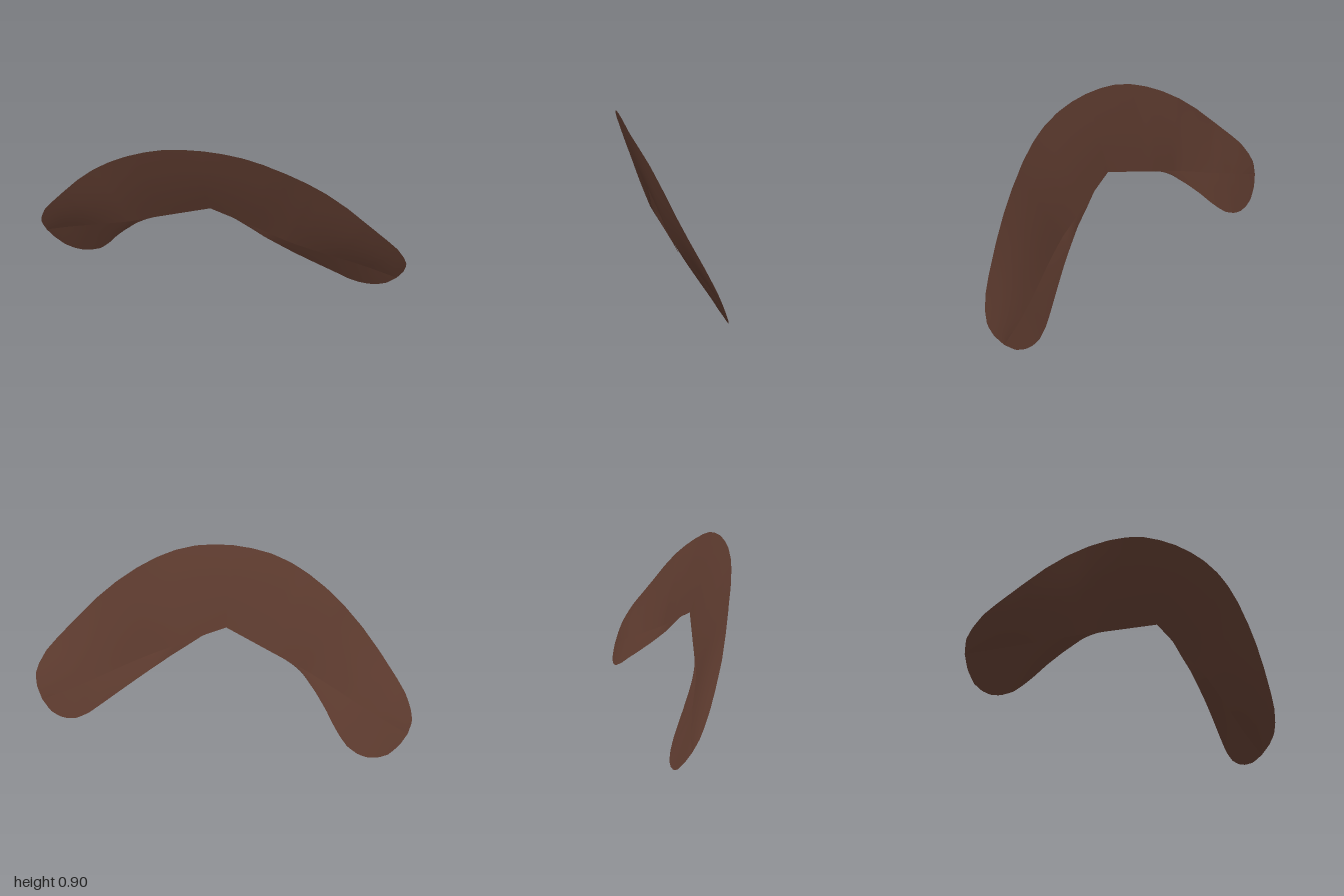
import * as THREE from 'three';

const N = 60; // stations along an arm
const M = 8;  // steps across a panel
const { clamp, lerp, smoothstep } = THREE.MathUtils;

// Outer edge shared by both arms, as seen from the front (mirrored by side)
const outer = [[0, .907], [.1, .902], [.2, .887], [.3, .857], [.4, .813], [.5, .756], [.6, .685], [.7, .597],
  [.8, .492], [.9, .382], [.95, .322], [.985, .255], [1, .2], [.985, .14]];
const tip = [[.69, .038], [.75, .01], [.8, .002], [.85, .008], [.9, .03], [.95, .08]];
const arms = [
  { name: 'leftArm', side: 1, outer: [...outer, [.95, .08]],
    crease: [[0, .51], [.12, .458], [.95, .08]],
    inner: [[0, .51], [.12, .458], ...tip] },
  { name: 'rightArm', side: -1, outer,
    crease: [[0, .51], [.35, .38], [.985, .14]],
    inner: [[0, .51], [.35, .38], [.42, .33], [.5, .252], [.56, .185], [.61, .12], [.65, .075], ...tip, [.985, .14]] },
];

// Depth by height along the outer edge and along the inner edge
const outerDepth = [[0, -.21], [.08, -.177], [.14, -.15], [.2, -.122], [.33, -.057], [.4, -.02], [.5, .03],
  [.6, .073], [.7, .118], [.84, .193], [.91, .222]];
const innerDepth = [[0, -.208], [.035, -.176], [.13, -.118], [.25, -.05], [.34, 0], [.4, .02], [.51, .063]];
function depthAt(table, y) {
  let k = 1;
  while (k < table.length - 1 && y > table[k][0]) k++;
  const [y0, z0] = table[k - 1], [y1, z1] = table[k];
  return lerp(z0, z1, (y - y0) / (y1 - y0));
}

// Evenly spaced points along an outline, set at their depth;
// the inner lines swing to the outer depth at the tip, and the arms twist slightly
function edge(points, side, isOuter) {
  const path = new THREE.CurvePath();
  for (let i = 1; i < points.length; i++) {
    path.add(new THREE.LineCurve(new THREE.Vector2(...points[i - 1]), new THREE.Vector2(...points[i])));
  }
  return Array.from({ length: N + 1 }, (_, i) => {
    const { x, y } = path.getPoint(i / N);
    const weight = isOuter ? 1 : smoothstep(x, .4, .93);
    const z = lerp(depthAt(innerDepth, y), depthAt(outerDepth, y), weight);
    return new THREE.Vector3(side * x, y, z - side * .01 * clamp((x - .4) / .4, 0, 1));
  });
}

// Lofted skin between two edges; thickness(i, v) gives its half depth
function panel(a, b, thickness, side, face) {
  const positions = [], index = [];
  for (let i = 0; i <= N; i++) {
    for (let j = 0; j <= M; j++) {
      const v = j / M, p = a[i].clone().lerp(b[i], v);
      positions.push(p.x, p.y, p.z + face * thickness(i, v));
      if (i < N && j < M) {
        const q = i * (M + 1) + j, r = q + M + 1;
        if (side * face > 0) index.push(q, q + 1, r, r, q + 1, r + 1);
        else index.push(q, r, q + 1, r, r + 1, q + 1);
      }
    }
  }
  const geometry = new THREE.BufferGeometry();
  geometry.setAttribute('position', new THREE.Float32BufferAttribute(positions, 3));
  geometry.setIndex(index);
  geometry.computeVertexNormals();
  return geometry;
}

export function createModel() {
  const model = new THREE.Group();
  model.name = 'boomerang';
  const wood = new THREE.MeshStandardMaterial({ color: 0x5c3a2e, side: THREE.DoubleSide });

  for (const arm of arms) {
    const group = new THREE.Group();
    group.name = arm.name;
    const o = edge(arm.outer, arm.side, true);
    const c = edge(arm.crease, arm.side, false);
    const n = edge(arm.inner, arm.side, false);

    // Blade thins to nothing at its edges and its tip, with a shallow crease between panels
    const body = i => .009 * Math.min(1, o[i].distanceTo(c[i]) / .25);
    const ridge = i => .4 * body(i) * Math.min(1, c[i].distanceTo(n[i]) / .1);
    const broad = (i, v) => body(i) * Math.sin(Math.PI * v) + ridge(i) * v * v;
    const narrow = (i, v) => ridge(i) * (1 - v * v);

    for (const face of [1, -1]) {
      const where = face > 0 ? 'Front' : 'Back';
      const main = new THREE.Mesh(panel(o, c, broad, arm.side, face), wood);
      main.name = 'blade' + where;
      const trailing = new THREE.Mesh(panel(c, n, narrow, arm.side, face), wood);
      trailing.name = 'innerEdge' + where;
      group.add(main, trailing);
    }
    model.add(group);
  }
  return model;
}
